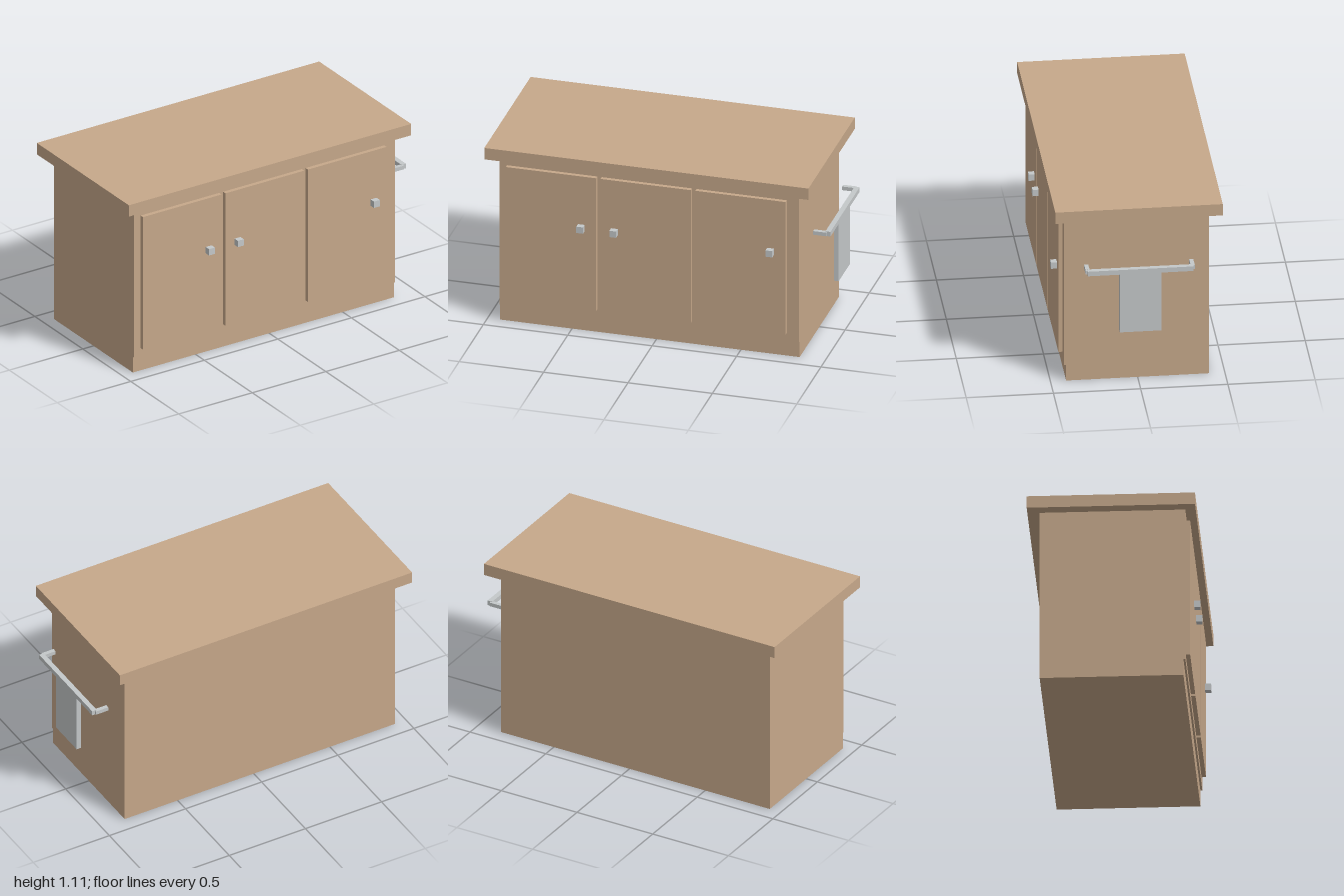
import * as THREE from 'three';

export function createModel() {
  const group = new THREE.Group();
  const wood = new THREE.MeshStandardMaterial({ color: 0xc6a88a });
  wood.name = 'tan wood';
  const metal = new THREE.MeshStandardMaterial({ color: 0xc4c8c9 });
  metal.name = 'pale grey';

  // Box given by its extents on each axis
  function box(name, material, [x0, x1], [y0, y1], [z0, z1]) {
    const mesh = new THREE.Mesh(new THREE.BoxGeometry(x1 - x0, y1 - y0, z1 - z0), material);
    mesh.position.set((x0 + x1) / 2, (y0 + y1) / 2, (z0 + z1) / 2);
    mesh.name = name;
    group.add(mesh);
  }

  // Cabinet carcass on a slightly recessed plinth, with overhanging top
  box('plinth', wood, [-0.927, 0.848], [0, 0.1], [-0.41, 0.41]);
  box('cabinetBody', wood, [-0.927, 0.848], [0.1, 1.038], [-0.41, 0.421]);
  box('countertop', wood, [-1, 0.92], [1.038, 1.11], [-0.48, 0.48]);

  // Three doors, each with a square knob
  const doors = [[-0.882, -0.435], [-0.321, -0.239], [0.24, 0.686]];
  for (const [left, knob] of doors) {
    box('door', wood, [left, left + 0.535], [0.148, 0.989], [0.421, 0.446]);
    box('knob', metal, [knob - 0.02, knob + 0.02], [0.645, 0.685], [0.446, 0.481]);
  }

  // Towel rail on the side, with its brackets and hanging towel
  box('towelRail', metal, [0.97, 1], [0.734, 0.763], [-0.303, 0.303]);
  for (const z of [-0.301, 0.301]) {
    box('railBracket', metal, [0.9, 0.98], [0.737, 0.76], [z - 0.012, z + 0.012]);
  }
  box('towel', metal, [0.967, 0.996], [0.364, 0.74], [-0.119, 0.119]);

  return group;
}
